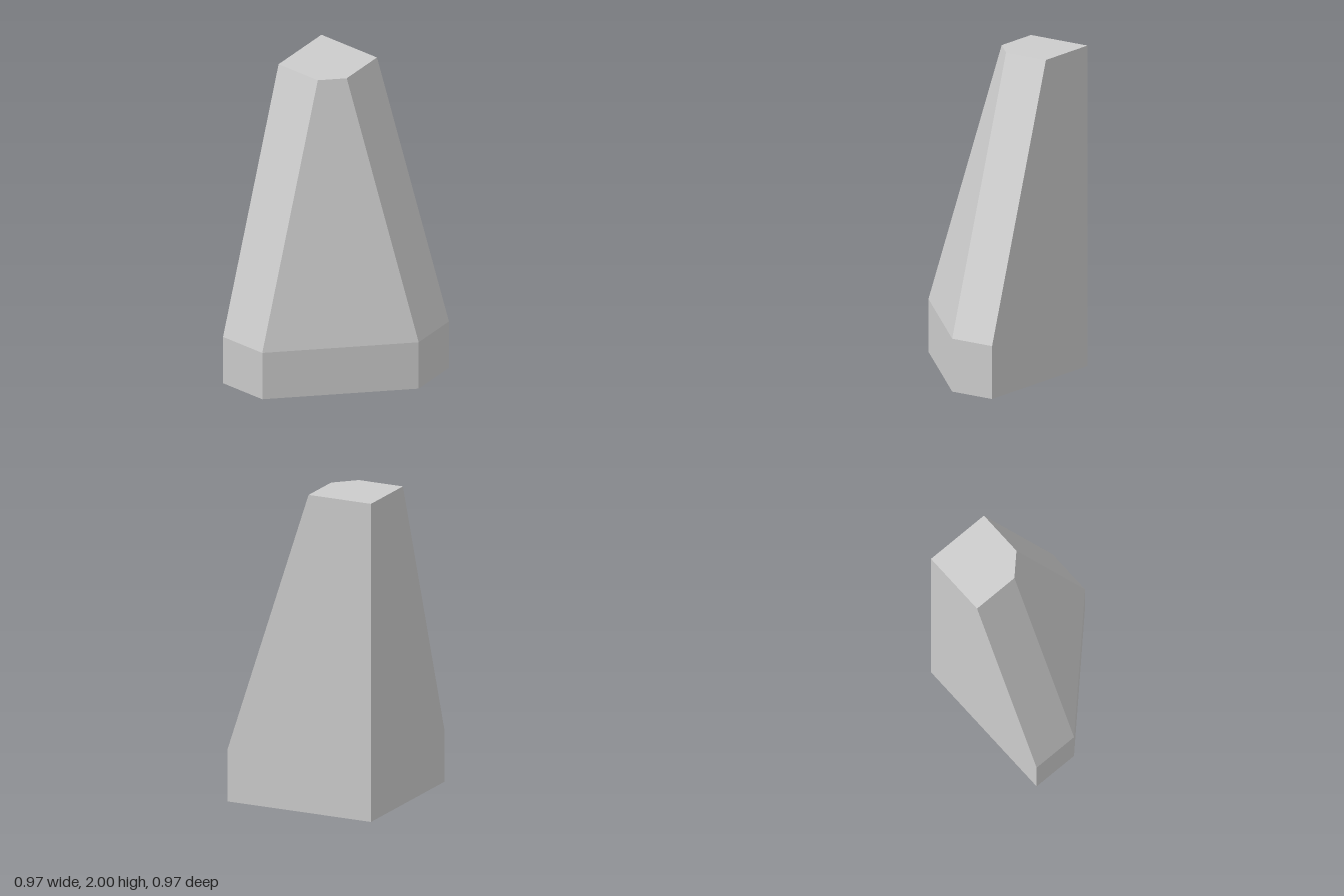
import * as THREE from 'three';

// Rings share the same corner order, so neighbouring rings can be joined by flat panels.
const R = 0.486;   // half width of the base
const C = 0.187;   // where the cut corner starts
const T = 0.0625;  // reach of the narrowed top

const base = [[-R, -R], [-R, -C], [C, R], [R, R], [R, -R]];
const crown = [[T, -R], [T, -C], [C, -T], [R, -T], [R, -R]];

const ring = (outline, y) => outline.map(([x, z]) => [x, y, z]);

function surface(triangles) {
  const geometry = new THREE.BufferGeometry();
  geometry.setAttribute('position', new THREE.Float32BufferAttribute(triangles.flat(2), 3));
  geometry.computeVertexNormals();
  return geometry;
}

// Side panels between two rings
function walls(low, high) {
  const triangles = [];
  low.forEach((a, i) => {
    const j = (i + 1) % low.length;
    triangles.push([a, low[j], high[j]], [a, high[j], high[i]]);
  });
  return surface(triangles);
}

// Flat lid over a convex ring
function lid(points) {
  const triangles = [];
  for (let i = 1; i < points.length - 1; i++) triangles.push([points[0], points[i], points[i + 1]]);
  return surface(triangles);
}

export function createModel() {
  const group = new THREE.Group();
  group.name = 'cornerButtress';

  const stone = new THREE.MeshStandardMaterial({ color: 0xcccccc, side: THREE.DoubleSide, flatShading: true });
  stone.name = 'light grey stone';

  const foot = ring(base, 0);
  const shoulder = ring(base, 0.33);
  const top = ring(crown, 2);

  const add = (name, geometry) => {
    const mesh = new THREE.Mesh(geometry, stone);
    mesh.name = name;
    group.add(mesh);
  };

  // The underside stays open
  add('plinth', walls(foot, shoulder));
  add('taperedShaft', walls(shoulder, top));
  add('topCap', lid(top));

  return group;
}
